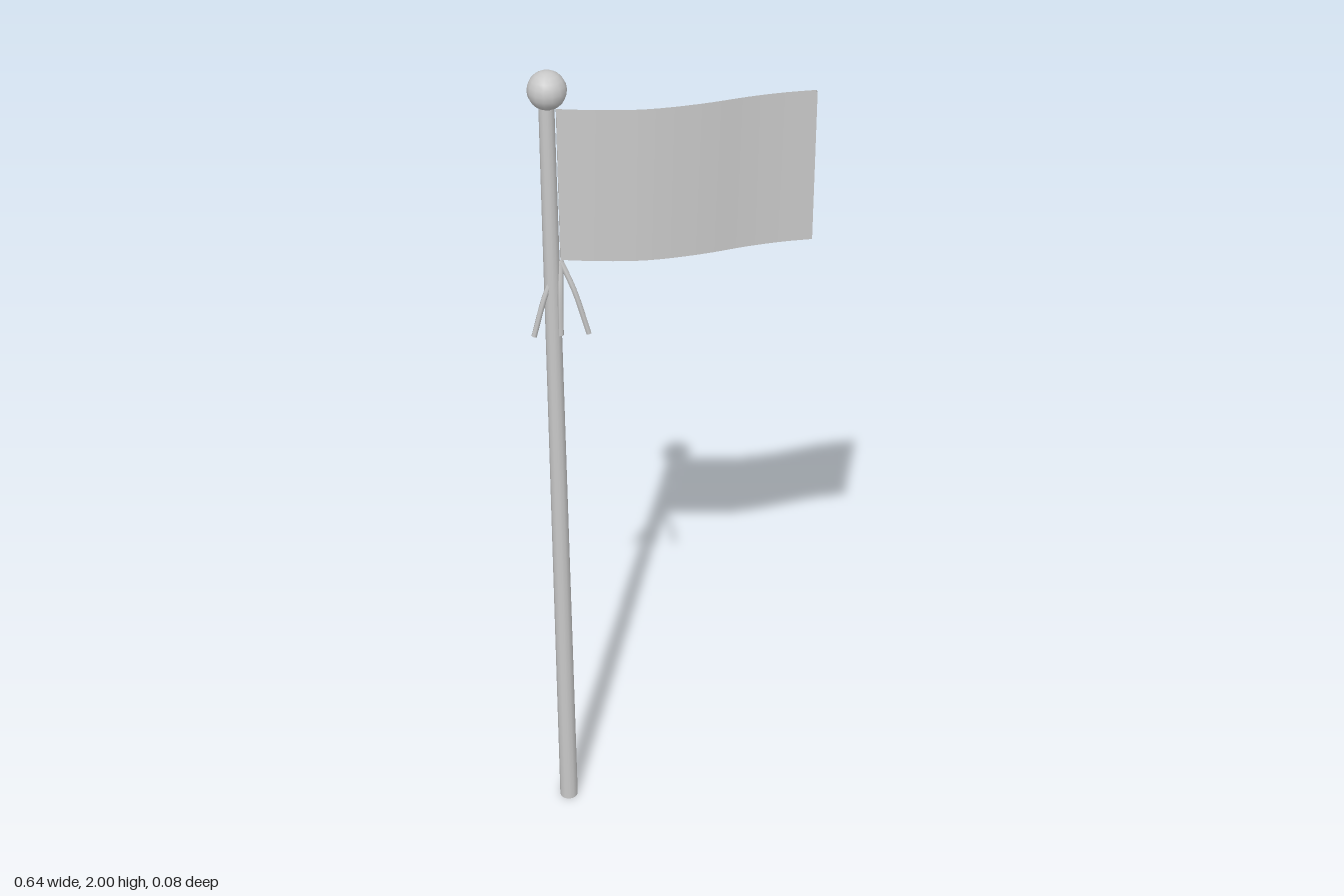
import * as THREE from 'three';

const POLE_X = -0.27;

export function createModel() {
  const model = new THREE.Group();
  model.name = 'flagpole';
  const grey = new THREE.MeshStandardMaterial({ color: 0xc8c8c8, side: THREE.DoubleSide });
  grey.name = 'plain grey';

  const add = (name, geometry, x = 0, y = 0, z = 0) => {
    const mesh = new THREE.Mesh(geometry, grey);
    mesh.name = name;
    mesh.position.set(x, y, z);
    model.add(mesh);
  };

  // Tapered pole with a ball on top
  add('pole', new THREE.CylinderGeometry(0.017, 0.0225, 1.93, 12), POLE_X, 0.965);
  add('finial', new THREE.SphereGeometry(0.043, 14, 10), POLE_X + 0.002, 1.957);

  // Waving flag: two curved cloth faces closed by narrow end strips
  const wave = new THREE.CatmullRomCurve3([
    [-0.25, 0], [-0.16, 0.016], [-0.06, 0.023], [0.06, 0.008],
    [0.17, -0.018], [0.25, -0.031], [0.317, -0.036],
  ].map(([x, z]) => new THREE.Vector3(x, 0, z)));
  const bottom = 1.555, top = 1.91, half = 0.006, steps = 24;

  const clothFace = (side) => {
    const g = new THREE.PlaneGeometry(1, top - bottom, steps, 1);
    const p = g.attributes.position;
    for (let i = 0; i < p.count; i++) {
      const c = wave.getPoint(p.getX(i) + 0.5);
      p.setXYZ(i, c.x, p.getY(i), c.z + side * half);
    }
    if (side < 0) {
      const index = Array.from(g.index.array).reverse();
      g.setIndex(index);
    }
    g.computeVertexNormals();
    return g;
  };
  const midY = (top + bottom) / 2;
  add('flagFront', clothFace(1), 0, midY);
  add('flagBack', clothFace(-1), 0, midY);

  for (const [name, t, turn] of [['flagFreeEdge', 1, 1], ['flagPoleEdge', 0, -1]]) {
    const c = wave.getPoint(t);
    const strip = new THREE.PlaneGeometry(half * 2, top - bottom).rotateY(turn * Math.PI / 2);
    add(name, strip, c.x, midY, c.z);
  }

  // Three loose cords hanging from the lower corner of the flag
  const cords = {
    cordLeft: [[-0.25, 1.55, 0], [-0.222, 1.48, 0.012], [-0.192, 1.37, 0.014]],
    cordMiddle: [[-0.25, 1.55, 0], [-0.253, 1.48, 0.013], [-0.255, 1.37, 0.015]],
    cordRight: [[-0.25, 1.55, 0], [-0.284, 1.48, 0.012], [-0.315, 1.37, 0.014]],
  };
  for (const [name, points] of Object.entries(cords)) {
    const path = new THREE.CatmullRomCurve3(points.map((p) => new THREE.Vector3(...p)));
    add(name, new THREE.TubeGeometry(path, 8, 0.0065, 6));
  }

  return model;
}
